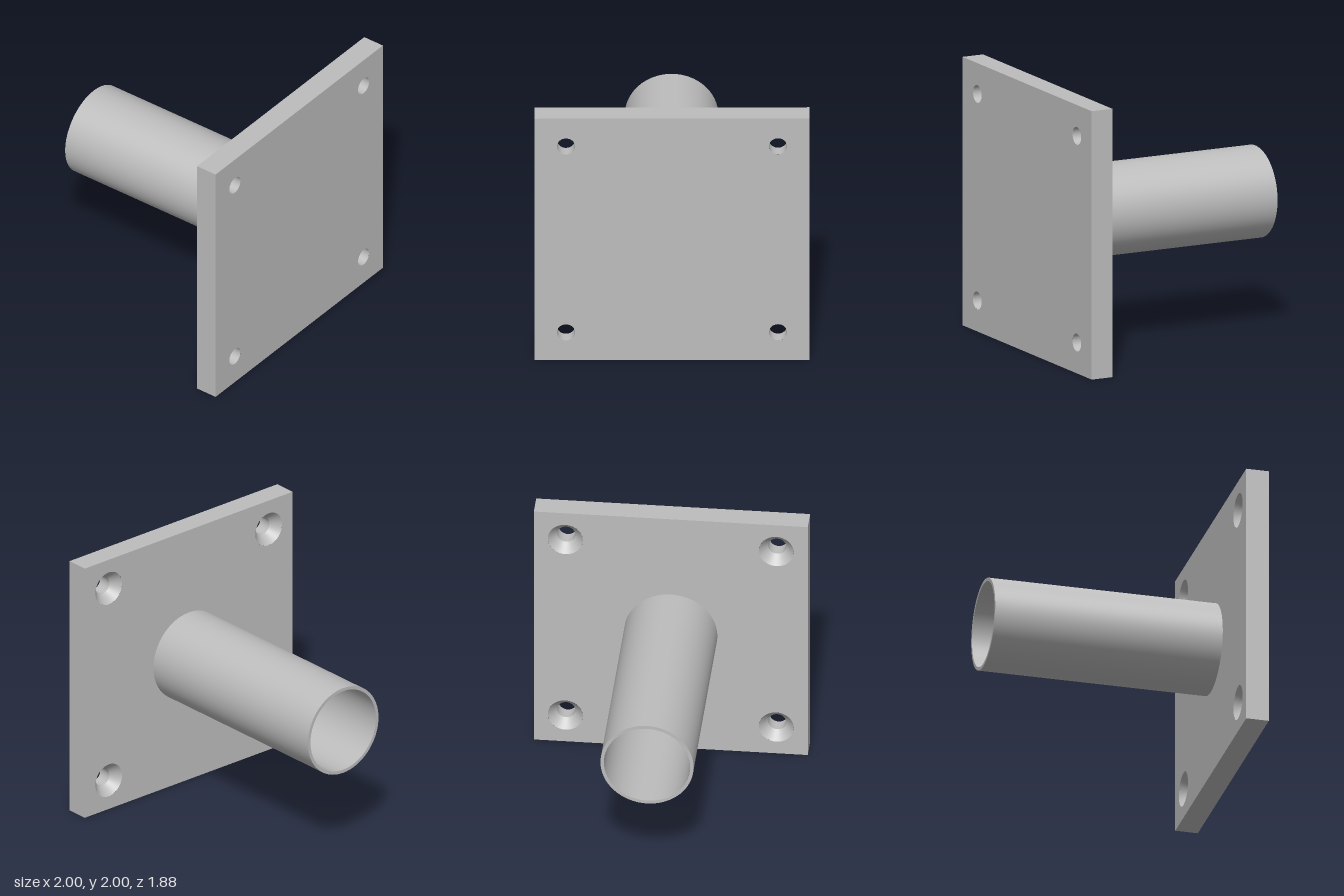
import * as THREE from 'three';
import { mergeGeometries } from 'three/addons/utils/BufferGeometryUtils.js';

const BACK = 0.77, FRONT = 0.94, TUBE_END = -0.94;
const HOLE_R = 0.066, SINK_R = 0.128, SINK_Z = 0.84;
const HOLES = [[-0.77, -0.77], [0.77, -0.77], [0.77, 0.77], [-0.77, 0.77]];

// Revolves a [radius, z] profile about z; each segment keeps its own normals so edges stay sharp
function revolve(profile, segments = 64) {
  const parts = [];
  for (let i = 0; i < profile.length - 1; i++) {
    const pts = [profile[i], profile[i + 1]].map(([r, z]) => new THREE.Vector2(r, z));
    parts.push(new THREE.LatheGeometry(pts, segments).rotateX(Math.PI / 2));
  }
  return mergeGeometries(parts);
}

// Square face with four round holes, facing +z
function drilledFace(radius) {
  const shape = new THREE.Shape([[-1, -1], [1, -1], [1, 1], [-1, 1]].map(([x, y]) => new THREE.Vector2(x, y)));
  for (const [x, y] of HOLES) {
    shape.holes.push(new THREE.Path().absarc(x, y, radius, 0, Math.PI * 2, true));
  }
  return new THREE.ShapeGeometry(shape, 40);
}

export function createModel() {
  const steel = new THREE.MeshStandardMaterial({ color: 0xbdbdbd });
  steel.name = 'plainSteel';
  const model = new THREE.Group();
  model.name = 'flangedTube';

  function add(name, geometry, parent) {
    const mesh = new THREE.Mesh(geometry, steel);
    mesh.name = name;
    parent.add(mesh);
    return mesh;
  }

  // Mounting plate
  const plate = new THREE.Group();
  plate.name = 'mountingPlate';
  plate.position.y = 1;
  model.add(plate);
  add('plateFront', drilledFace(HOLE_R).translate(0, 0, FRONT), plate);
  add('plateBack', drilledFace(SINK_R).rotateY(Math.PI).translate(0, 0, BACK), plate);

  // Four plate edges
  const edges = [];
  for (let i = 0; i < 4; i++) {
    edges.push(new THREE.PlaneGeometry(2, FRONT - BACK)
      .rotateX(-Math.PI / 2)
      .translate(0, 1, (FRONT + BACK) / 2)
      .rotateZ(i * Math.PI / 2));
  }
  add('plateEdges', mergeGeometries(edges), plate);

  // Countersunk screw holes, opening wide at the back
  const holeWall = revolve([[HOLE_R, FRONT], [HOLE_R, SINK_Z], [SINK_R, BACK]], 40);
  for (const [x, y] of HOLES) add('screwHole', holeWall, plate).position.set(x, y, 0);

  // Thin-walled tube, open at its far end
  const tube = revolve([[0.315, BACK], [0.315, TUBE_END], [0.34, TUBE_END], [0.34, BACK]]);
  add('tube', tube, model).position.y = 1;

  return model;
}
